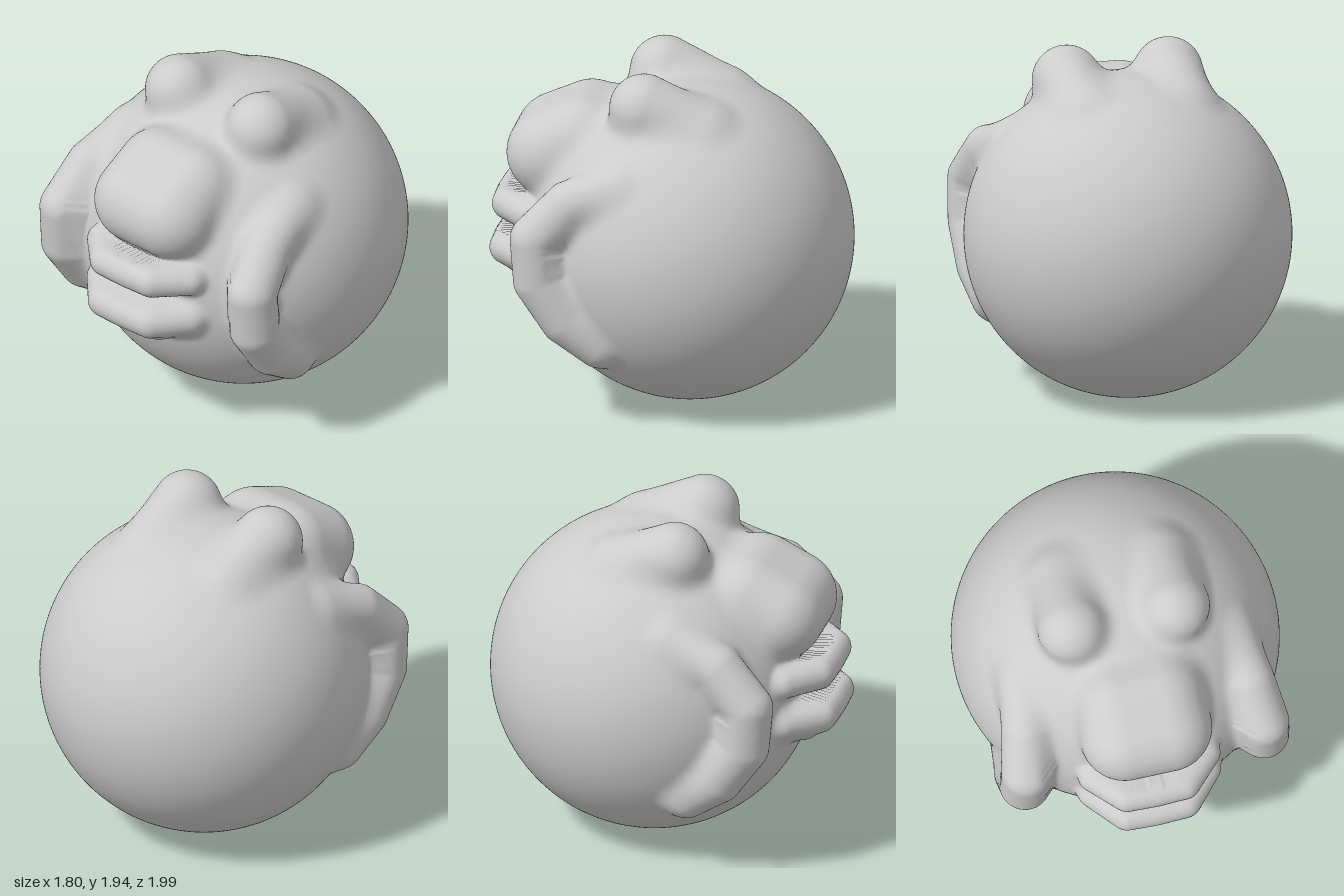
import * as THREE from 'three';
import { mergeVertices } from 'three/addons/utils/BufferGeometryUtils.js';

const V = (x, y, z) => new THREE.Vector3(x, y, z);
const CENTER = V(0, 0.9, -0.1);
const RADIUS = 0.9;

// Distance from p to a chain of rounded segments; each point is [x, y, z, radius]
function chain(p, pts) {
  let best = Infinity;
  for (let i = 0; i + 1 < pts.length; i++) {
    const a = pts[i], b = pts[i + 1];
    const dx = b[0] - a[0], dy = b[1] - a[1], dz = b[2] - a[2];
    const px = p.x - a[0], py = p.y - a[1], pz = p.z - a[2];
    const t = THREE.MathUtils.clamp((px * dx + py * dy + pz * dz) / (dx * dx + dy * dy + dz * dz), 0, 1);
    const d = Math.hypot(px - dx * t, py - dy * t, pz - dz * t) - (a[3] + (b[3] - a[3]) * t);
    best = Math.min(best, d);
  }
  return best;
}

// Union with a soft fillet of width k
function blend(a, b, k) {
  const h = Math.max(k - Math.abs(a - b), 0) / k;
  return Math.min(a, b) - h * h * k * 0.25;
}

// Features of one half; the other half is mirrored through |x|
const EYE = [[0.29, 1.745, 0.1, 0.19], [0.28, 1.62, -0.22, 0.17]];
const NOSE = [[0, 1.47, 0.47, 0.24], [0, 1.38, 0.65, 0.245]];
const NOSE_HALF_WIDTH = 0.12;
const UPPER_LIP = [[-0.1, 1.075, 0.89, 0.092], [0.16, 1.075, 0.88, 0.092], [0.31, 1.07, 0.73, 0.088]];
const LOWER_LIP = [[-0.1, 0.815, 0.9, 0.096], [0.16, 0.815, 0.89, 0.096], [0.31, 0.82, 0.73, 0.09]];
const CHIN = [[-0.1, 0.75, 0.8, 0.1], [0.14, 0.75, 0.79, 0.1], [0.27, 0.77, 0.68, 0.09]];
const CHEEK = [
  [0.58, 1.38, 0.18, 0.13], [0.63, 1.28, 0.45, 0.135], [0.665, 1.08, 0.63, 0.14],
  [0.67, 0.84, 0.61, 0.14], [0.665, 0.62, 0.46, 0.14], [0.645, 0.48, 0.28, 0.13],
];

function headDistance(p) {
  const q = V(Math.abs(p.x), p.y, p.z);
  let d = q.distanceTo(CENTER) - RADIUS;
  d = blend(d, chain(q, EYE), 0.09);
  d = blend(d, chain(q, CHEEK), 0.08);
  const n = V(Math.max(q.x - NOSE_HALF_WIDTH, 0), q.y, q.z);
  d = blend(d, chain(n, NOSE), 0.07);
  const lower = blend(chain(q, LOWER_LIP), chain(q, CHIN), 0.05);
  d = blend(d, lower, 0.05);
  return blend(d, chain(q, UPPER_LIP), 0.04);
}

// Shrink-wrap a fine sphere onto the blended form, working inwards along each ray
function headGeometry() {
  let geo = new THREE.IcosahedronGeometry(1, 70);
  geo.deleteAttribute('uv');
  geo.deleteAttribute('normal');
  geo = mergeVertices(geo, 1e-4);
  const pos = geo.attributes.position;
  const dir = V(0, 0, 0), p = V(0, 0, 0);
  for (let i = 0; i < pos.count; i++) {
    dir.fromBufferAttribute(pos, i).normalize();
    let r = 1.5;
    for (let s = 0; s < 60; s++) {
      p.copy(CENTER).addScaledVector(dir, r);
      const d = headDistance(p);
      if (d < 0.0005) break;
      r -= d * 0.9;
    }
    pos.setXYZ(i, p.x, p.y, p.z);
  }
  geo.computeVertexNormals();
  return geo;
}

export function createModel() {
  const group = new THREE.Group();
  group.name = 'roundCreature';
  const head = new THREE.Mesh(headGeometry(), new THREE.MeshStandardMaterial({ color: 0xcccccc }));
  head.name = 'headWithEyesNoseLipsAndCheeks';
  group.add(head);
  return group;
}
